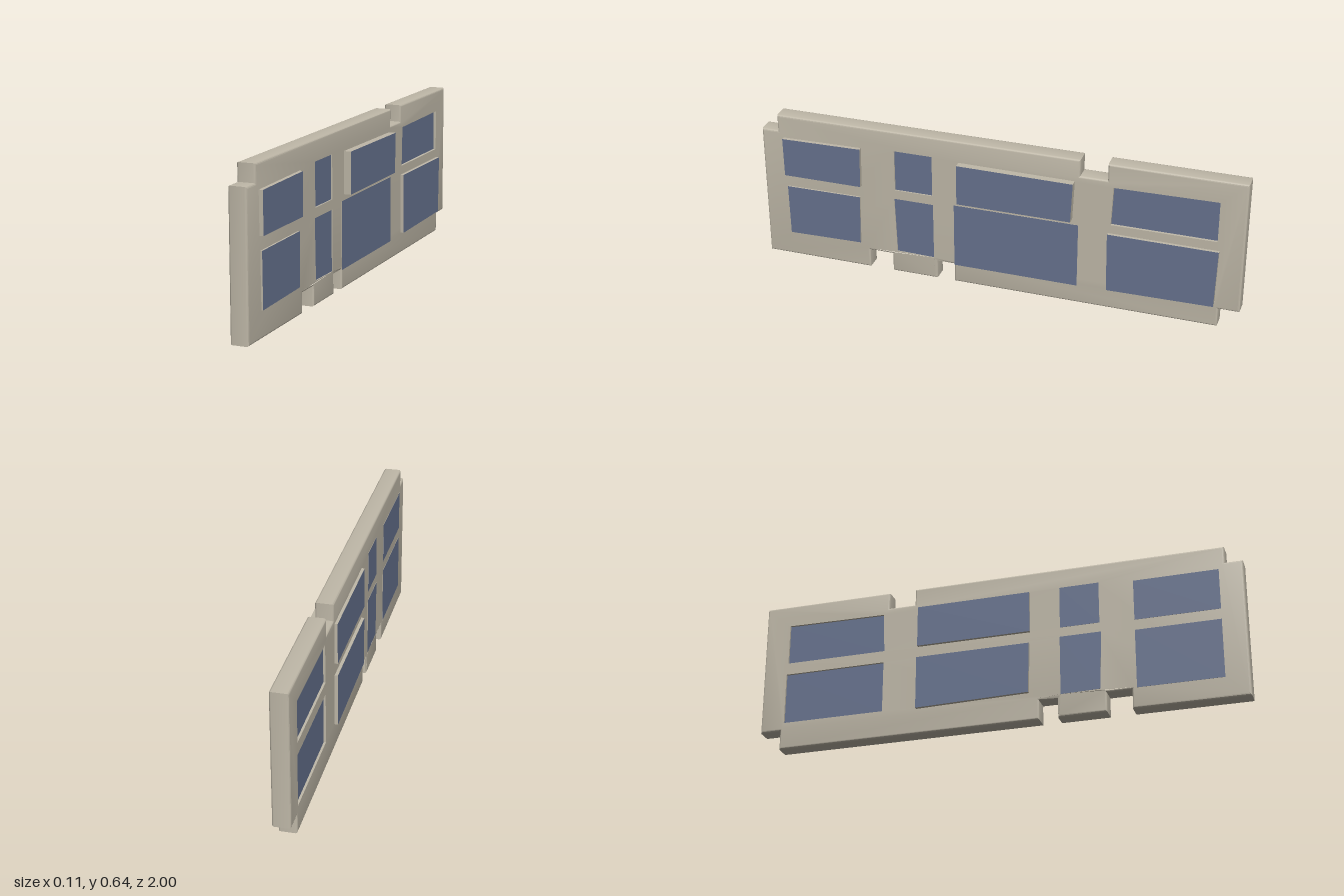
import * as THREE from 'three';
import { toCreasedNormals } from 'three/addons/utils/BufferGeometryUtils.js';

// Profiles are drawn in (u, y) with u = -z, then turned so that depth runs along x.
const BACK = -0.045, FACE = 0.027, CORE = -0.009, BEVEL = 0.008;
const wallMat = new THREE.MeshStandardMaterial({ color: 0xbfb8a8 });
const paneMat = new THREE.MeshStandardMaterial({ color: 0x66728e });

const toShape = (pts) => new THREE.Shape(pts.map(([u, y]) => new THREE.Vector2(u, y)));
const rect = (u0, u1, y0, y1) => [[u0, y0], [u1, y0], [u1, y1], [u0, y1]];

// Notched outline of the wall
const outline = [
  [-1, 0], [-0.545, 0], [-0.545, 0.08], [-0.445, 0.08], [-0.445, 0], [-0.25, 0],
  [-0.25, 0.08], [-0.175, 0.08], [-0.175, 0], [0.915, 0], [0.915, 0.08], [1, 0.08],
  [1, 0.64], [0.455, 0.64], [0.455, 0.57], [0.345, 0.57], [0.345, 0.64],
  [-0.93, 0.64], [-0.93, 0.57], [-1, 0.57],
];

// Window outlines shared by both faces
const narrowTop = rect(-0.425, -0.265, 0.38, 0.556);
const narrowLow = [[-0.422, 0.097], [-0.263, 0.094], [-0.263, 0.34], [-0.43, 0.34]];
const endTop = [[0.473, 0.378], [0.895, 0.378], [0.895, 0.549], [0.48, 0.543]];
const endLow = rect(0.475, 0.9, 0.113, 0.328);

// Panes: name, outline, x of the visible face
const panes = [
  ['leftUpperPane', [[-0.903, 0.378], [-0.57, 0.378], [-0.567, 0.548], [-0.905, 0.543]], 0.043],
  ['leftNarrowUpperPane', narrowTop, 0.021],
  ['leftBayUpperPane', [[-0.152, 0.378], [0.318, 0.378], [0.325, 0.546], [-0.152, 0.549]], 0.057],
  ['leftEndUpperPane', endTop, 0.016],
  ['leftLowerPane', [[-0.895, 0.106], [-0.583, 0.112], [-0.578, 0.325], [-0.898, 0.323]], 0.034],
  ['leftNarrowLowerPane', narrowLow, 0.023],
  ['leftDoorPane', rect(-0.174, 0.343, 0.078, 0.354), FACE + 0.001],
  ['leftEndLowerPane', [[0.467, 0.088], [0.898, 0.094], [0.905, 0.34], [0.463, 0.341]], 0.04],
  ['rightUpperPane', rect(-0.905, -0.565, 0.372, 0.543), BACK - 0.001],
  ['rightNarrowUpperPane', narrowTop, BACK - 0.001],
  ['rightBayUpperPane', rect(-0.143, 0.328, 0.377, 0.55), -0.057],
  ['rightEndUpperPane', endTop, -0.036],
  ['rightLowerPane', rect(-0.905, -0.565, 0.084, 0.328), BACK - 0.001],
  ['rightNarrowLowerPane', narrowLow, BACK - 0.001],
  ['rightBayLowerPane', [[-0.135, 0.115], [0.33, 0.105], [0.33, 0.326], [-0.14, 0.326]], -0.058],
  ['rightEndLowerPane', endLow, -0.036],
];

// Wall slab with rounded outer edges and square-cut window openings
function makeWall() {
  const holes = [narrowTop, narrowLow, endTop, endLow];
  const shape = toShape(outline);
  shape.holes = holes.map((h) => new THREE.Path(toShape(h).getPoints()));
  const geo = new THREE.ExtrudeGeometry(shape, {
    depth: FACE - BACK - 2 * BEVEL, bevelEnabled: true, bevelThickness: BEVEL,
    bevelSize: BEVEL, bevelOffset: -BEVEL, bevelSegments: 3,
  });
  // Only the outer outline stays rounded: pull the openings' edges back to their corners
  const pos = geo.attributes.position;
  const corners = holes.flat();
  for (let i = 0; i < pos.count; i++) {
    const c = corners.find(([u, y]) => Math.hypot(pos.getX(i) - u, pos.getY(i) - y) < BEVEL * 1.8);
    if (c) pos.setXY(i, c[0], c[1]);
  }
  geo.translate(0, 0, BACK + BEVEL).rotateY(Math.PI / 2);
  geo.clearGroups();
  const mesh = new THREE.Mesh(toCreasedNormals(geo, 0.7), wallMat);
  mesh.name = 'wall';
  return mesh;
}

// Pane block from the wall's core out to its coloured face
function makePane([name, pts, x]) {
  const geo = new THREE.ExtrudeGeometry(toShape(pts), { depth: Math.abs(x - CORE), bevelEnabled: false });
  geo.translate(0, 0, Math.min(x, CORE)).rotateY(Math.PI / 2);
  const mesh = new THREE.Mesh(geo, [paneMat, wallMat]);
  mesh.name = name;
  return mesh;
}

export function createModel() {
  const model = new THREE.Group();
  model.name = 'windowWall';
  model.add(makeWall(), ...panes.map(makePane));
  return model;
}
